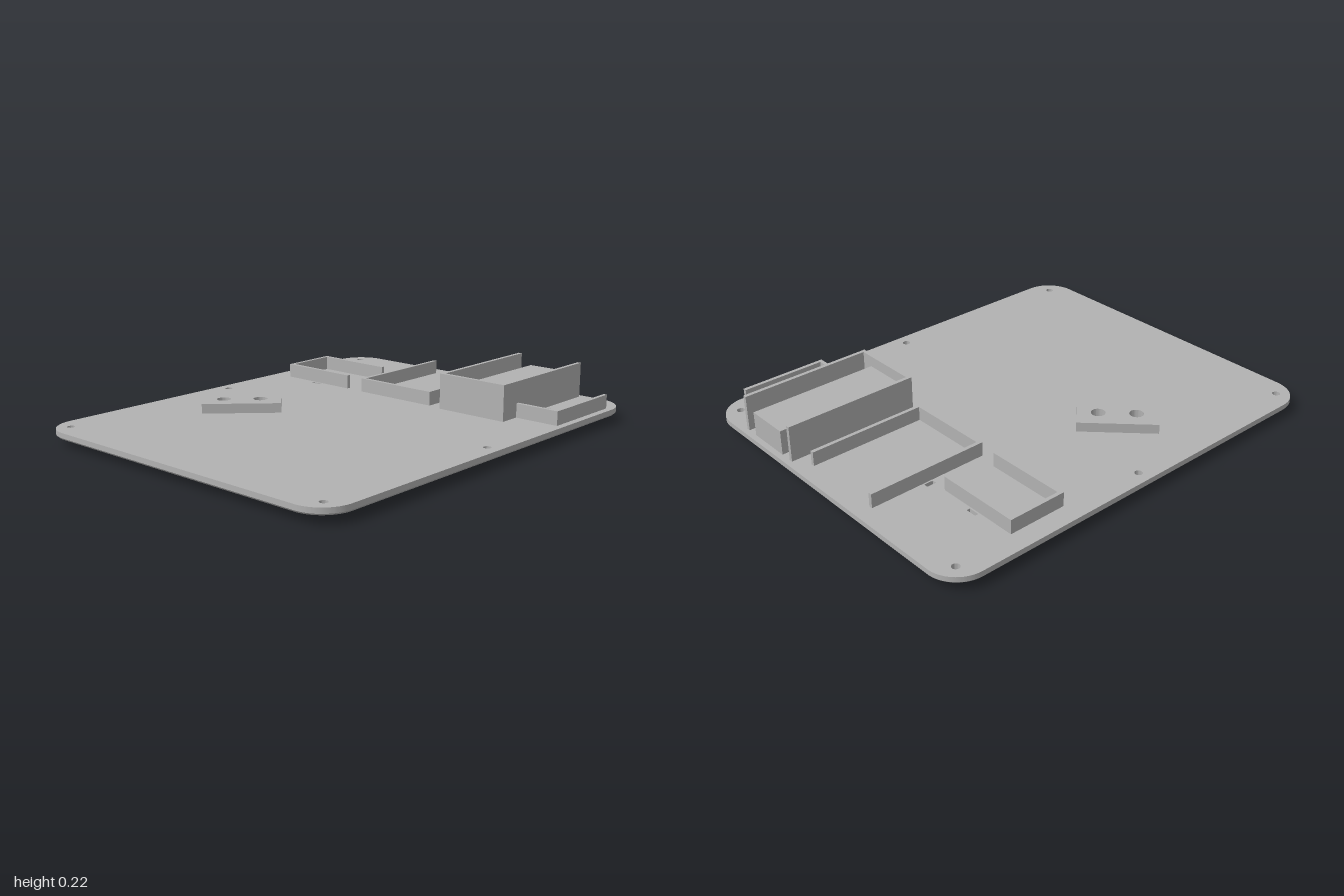
import * as THREE from 'three';
import { toCreasedNormals } from 'three/addons/utils/BufferGeometryUtils.js';

const BASE = 0.035, TOP = 0.065; // underside and top of the plate

export function createModel() {
  const model = new THREE.Group();
  model.name = 'mountingPlate';
  const grey = new THREE.MeshStandardMaterial({ color: 0xb2b2b2 });
  grey.name = 'grey';

  const add = (name, geometry, parent = model) => {
    const mesh = new THREE.Mesh(geometry, grey);
    mesh.name = name;
    parent.add(mesh);
    return mesh;
  };

  // Box given by its bounds
  const block = (name, parent, x0, x1, y0, y1, z0, z1) =>
    add(name, new THREE.BoxGeometry(x1 - x0, y1 - y0, z1 - z0), parent)
      .position.set((x0 + x1) / 2, (y0 + y1) / 2, (z0 + z1) / 2);

  const roundHole = (x, z, r) => new THREE.Path().absarc(x, -z, r, 0, Math.PI * 2, true);
  const rectPath = (path, x, z, w, d) => {
    const l = x - w / 2, r = x + w / 2, b = -z - d / 2, t = -z + d / 2;
    return path.moveTo(l, b).lineTo(r, b).lineTo(r, t).lineTo(l, t).closePath();
  };
  const slab = (shape, depth, steps = 1) =>
    new THREE.ExtrudeGeometry(shape, { depth, steps, bevelEnabled: false, curveSegments: 16 })
      .rotateX(-Math.PI / 2);

  // Plate with rounded corners
  const W = 0.808, D = 1, R = 0.14, cx = W - R, cz = D - R;
  const outline = new THREE.Shape();
  outline.absarc(cx, cz, R, 0, Math.PI / 2);
  outline.absarc(-cx, cz, R, Math.PI / 2, Math.PI);
  outline.absarc(-cx, -cz, R, Math.PI, Math.PI * 1.5);
  outline.absarc(cx, -cz, R, Math.PI * 1.5, Math.PI * 2);
  outline.closePath();

  // Screw holes, tie slots and counterbores under the angled mount
  for (const s of [-1, 1]) {
    for (const z of [-0.915, 0.915]) outline.holes.push(roundHole(s * 0.725, z, 0.017));
    outline.holes.push(roundHole(s * 0.75, 0, 0.017));
    outline.holes.push(roundHole(-0.427 + s * 0.057, 0.223 - s * 0.057, 0.05));
  }
  for (const [x, z, w, d] of [
    [-0.515, -0.66, 0.048, 0.016], [-0.515, -0.36, 0.048, 0.016],
    [-0.26, -0.66, 0.02, 0.042], [0.178, -0.66, 0.02, 0.042],
    [0.212, -0.675, 0.02, 0.042], [0.589, -0.675, 0.02, 0.042],
  ]) outline.holes.push(rectPath(new THREE.Path(), x, z, w, d));

  // Chamfer the lower outer edge by pulling in the bottom rim
  const plate = slab(outline, TOP - BASE, 4);
  const p = plate.attributes.position;
  for (let i = 0; i < p.count; i++) {
    const x = p.getX(i), z = p.getZ(i);
    const edge = Math.hypot(Math.max(Math.abs(x) - cx, 0), Math.max(Math.abs(z) - cz, 0));
    if (p.getY(i) < 0.001 && edge > R - 0.01) {
      p.setX(i, x * 0.993);
      p.setZ(i, z * 0.994);
    }
  }
  add('plate', toCreasedNormals(plate, 0.5)).position.y = BASE;

  // Feet
  for (const x of [-0.638, 0.638]) for (const z of [-0.83, 0.83])
    add('foot', new THREE.CylinderGeometry(0.072, 0.072, BASE, 48)).position.set(x, BASE / 2, z);

  // Open trays: bounds, wall height and which sides carry a wall
  const T = 0.017;
  const tray = (name, x0, x1, z0, z1, top, sides) => {
    const g = new THREE.Group();
    g.name = name;
    model.add(g);
    const inner = { z0: sides.includes('back') ? z0 + T : z0, z1: sides.includes('front') ? z1 - T : z1 };
    if (sides.includes('front')) block('frontWall', g, x0, x1, TOP, top, z1 - T, z1);
    if (sides.includes('back')) block('backWall', g, x0, x1, TOP, top, z0, z0 + T);
    if (sides.includes('left')) block('leftWall', g, x1 - T, x1, TOP, top, inner.z0, inner.z1);
    if (sides.includes('right')) block('rightWall', g, x0, x0 + T, TOP, top, inner.z0, inner.z1);
    return g;
  };
  tray('smallTray', -0.715, -0.332, -0.645, -0.378, 0.128, ['front', 'back', 'right']);
  tray('wideTray', -0.243, 0.164, -0.926, -0.376, 0.128, ['front', 'left', 'right']);
  tray('sideTray', 0.572, 0.778, -0.862, -0.46, 0.128, ['front', 'left']);
  const tall = tray('tallHolder', 0.232, 0.572, -0.974, -0.362, 0.225, ['front', 'left', 'right']);
  block('innerBlock', tall, 0.302, 0.503, TOP, 0.175, -0.974, -0.362 - T);

  // Angled mount with two through holes
  const mount = rectPath(new THREE.Shape(), 0, 0, 0.346, 0.176);
  for (const s of [-1, 1]) mount.holes.push(roundHole(s * 0.0806, 0, 0.031));
  const mountMesh = add('angledMount', toCreasedNormals(slab(mount, 0.043), 0.5));
  mountMesh.position.set(-0.42, TOP, 0.215);
  mountMesh.rotation.y = Math.PI / 4;
  mountMesh.position.x = -0.423;
  mountMesh.position.z = 0.219;

  return model;
}
